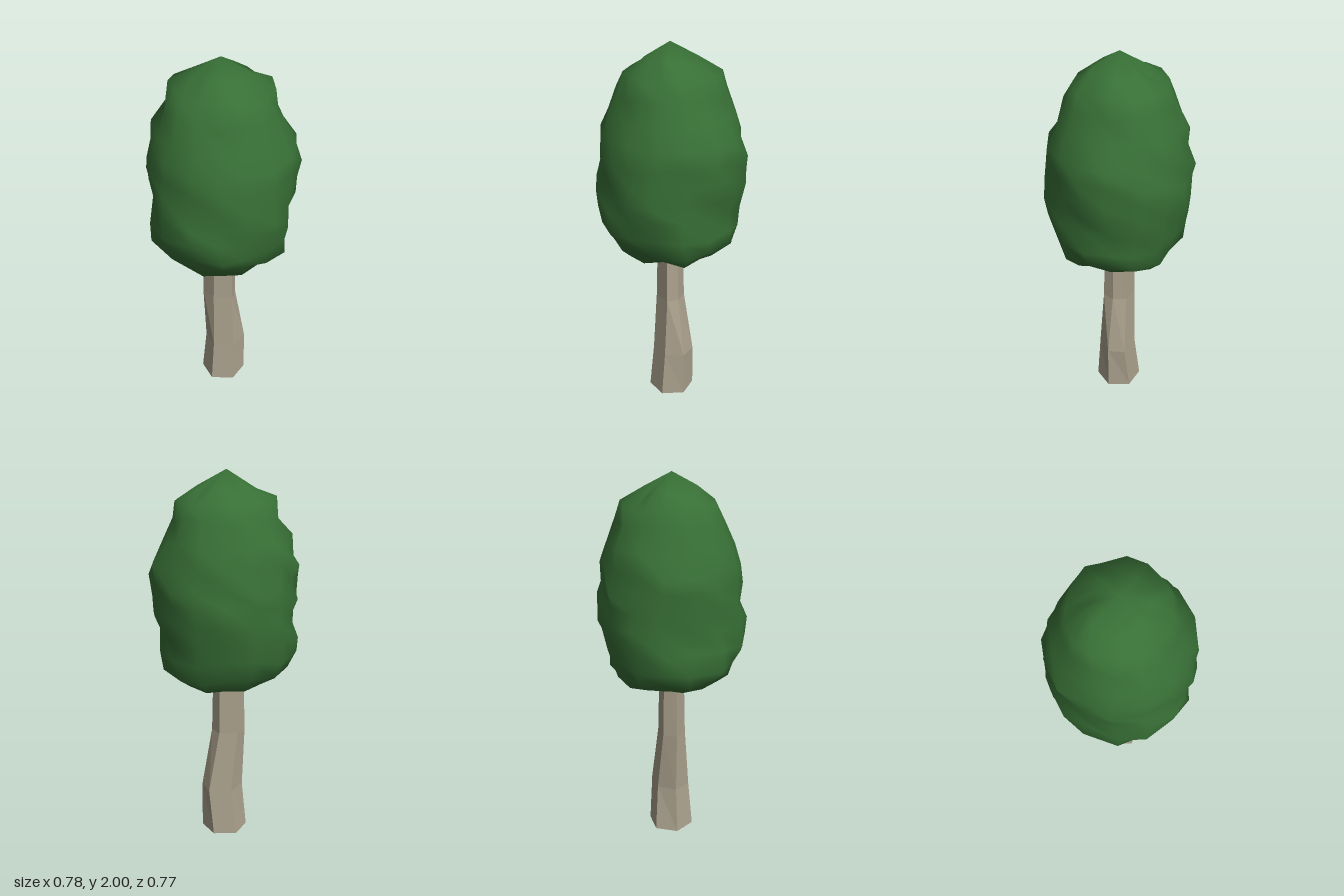
import * as THREE from 'three';

// Small seeded random in -1..1
function makeRandom(seed) {
  let s = seed;
  return () => {
    s = (s * 16807) % 2147483647;
    return (s / 2147483647) * 2 - 1;
  };
}

// Closed skin over rings of points (listed bottom to top), with a tip at each end
function skin(rings, bottom, top) {
  const n = rings[0].length;
  const pos = [...rings.flat(), bottom, top].flat();
  const low = rings.length * n, high = low + 1, last = low - n;
  const index = [];
  for (let j = 0; j < n; j++) {
    const k = (j + 1) % n;
    index.push(low, j, k, high, last + k, last + j);
    for (let i = 0; i < rings.length - 1; i++) {
      const a = i * n + j, b = i * n + k;
      index.push(a, a + n, b + n, a, b + n, b);
    }
  }
  const g = new THREE.BufferGeometry();
  g.setAttribute('position', new THREE.Float32BufferAttribute(pos, 3));
  g.setIndex(index);
  g.computeVertexNormals();
  return g;
}

// Bent six-sided trunk: y, half depth, then x of the right corner, the two front
// corners, the left corner and the two back corners
function createTrunk() {
  const sections = [
    [0, 0.108, 0.125, 0.063, -0.063, -0.125, -0.063, 0.063],
    [0.26, 0.088, 0.125, 0.064, -0.05, -0.1, -0.035, 0.088],
    [0.6, 0.065, 0.068, 0.055, -0.05, -0.113, -0.07, 0.03],
    [1.1, 0.056, 0.056, 0.042, -0.042, -0.1, -0.065, 0.025],
  ];
  const side = [0, 1, 1, 0, -1, -1];
  const rings = sections.map(([y, d, ...xs]) => xs.map((x, j) => [x, y, d * side[j]]));
  const material = new THREE.MeshStandardMaterial({ color: 0xaba18d, flatShading: true });
  const trunk = new THREE.Mesh(skin(rings, [0, 0, 0], [-0.02, 1.1, 0]), material);
  trunk.name = 'trunk';
  return trunk;
}

// Lumpy crown: y, then reach toward +x, +z, -x, -z
function createFoliage() {
  const profile = [
    [0.895, 0.14, 0.14, 0.14, 0.14],
    [0.925, 0.27, 0.25, 0.27, 0.26],
    [0.99, 0.34, 0.31, 0.345, 0.32],
    [1.08, 0.355, 0.37, 0.385, 0.34],
    [1.18, 0.345, 0.385, 0.38, 0.36],
    [1.28, 0.365, 0.375, 0.375, 0.38],
    [1.37, 0.385, 0.365, 0.385, 0.38],
    [1.46, 0.385, 0.35, 0.385, 0.36],
    [1.56, 0.37, 0.33, 0.375, 0.355],
    [1.66, 0.31, 0.29, 0.345, 0.325],
    [1.76, 0.265, 0.275, 0.28, 0.27],
    [1.85, 0.245, 0.22, 0.255, 0.25],
    [1.915, 0.14, 0.125, 0.16, 0.13],
  ];
  const random = makeRandom(4711);
  const sides = 16;
  const rings = profile.map(([y, ...reach]) => {
    const ring = [];
    for (let j = 0; j < sides; j++) {
      const q = Math.floor((j * 4) / sides);
      const t = ((j * 4) / sides) % 1;
      const r = THREE.MathUtils.lerp(reach[q], reach[(q + 1) % 4], t);
      // slightly squarish plan, with bumps in and out
      const bump = 0.99 + 0.03 * Math.sin(t * Math.PI) + 0.055 * random();
      const turn = (j / sides) * Math.PI * 2 + 0.06 * random();
      ring.push([Math.cos(turn) * r * bump, y + 0.02 * random(), Math.sin(turn) * r * bump]);
    }
    return ring;
  });
  const material = new THREE.MeshStandardMaterial({ color: 0x387036 });
  const foliage = new THREE.Mesh(skin(rings, [0, 0.94, 0], [-0.01, 2, 0]), material);
  foliage.name = 'foliage';
  return foliage;
}

export function createModel() {
  const tree = new THREE.Group();
  tree.name = 'tree';
  tree.add(createTrunk(), createFoliage());
  return tree;
}
